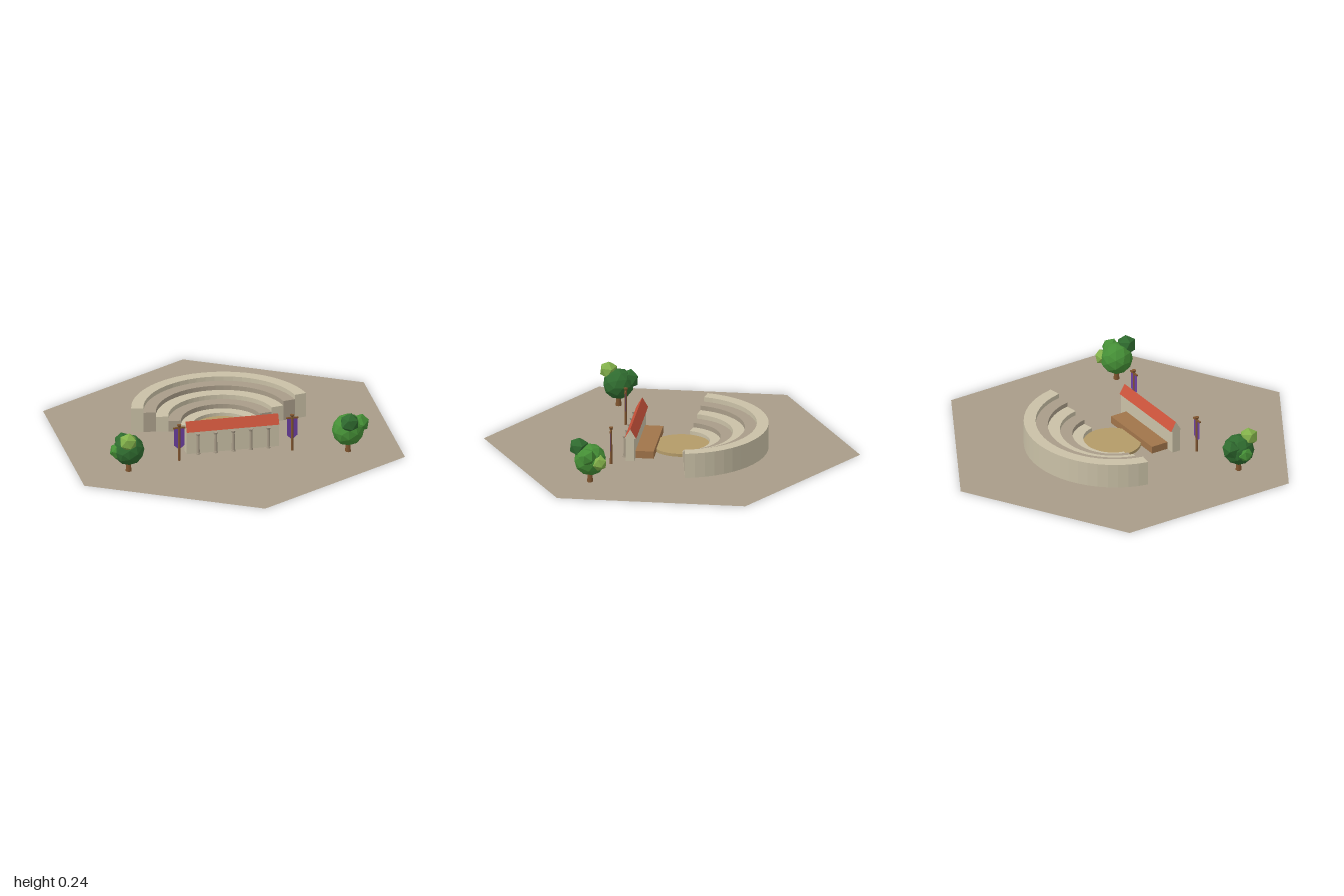
import * as THREE from 'three';

const mat = (name, color, extra = {}) => {
  const m = new THREE.MeshStandardMaterial({ color, ...extra });
  m.name = name;
  return m;
};

export function createModel() {
  const model = new THREE.Group();
  model.name = 'openAirTheatre';
  const M = {
    earth: mat('earthStone', 0xa89c88, { side: THREE.DoubleSide }),
    stone: mat('paleStone', 0xc9c0a6),
    sand: mat('sand', 0xb39a68),
    wood: mat('stageWood', 0xa0744a),
    bark: mat('bark', 0x80552f),
    tile: mat('roofTile', 0xc8523a),
    cloth: mat('purpleCloth', 0x6b3fa0, { side: THREE.DoubleSide }),
    dark: mat('darkLeaf', 0x2f6b2f, { flatShading: true }),
    mid: mat('midLeaf', 0x458f36, { flatShading: true }),
    light: mat('lightLeaf', 0x82b04a, { flatShading: true }),
  };
  const add = (parent, name, geo, material, x = 0, y = 0, z = 0) => {
    const mesh = new THREE.Mesh(geo, material);
    mesh.name = name;
    mesh.position.set(x, y, z);
    parent.add(mesh);
    return mesh;
  };
  const box = (parent, name, w, h, d, material, x, y, z) =>
    add(parent, name, new THREE.BoxGeometry(w, h, d), material, x, y, z);

  // Hexagonal ground with points along z
  const ground = new THREE.CircleGeometry(1, 6, Math.PI / 2).rotateX(-Math.PI / 2);
  add(model, 'ground', ground, M.earth);

  // Seating: five elliptical tiers rising outwards
  const radii = [0.15, 0.207, 0.272, 0.335, 0.398, 0.46];
  const segments = 24;
  const arcPoint = (r, i) => {
    const a = THREE.MathUtils.degToRad(10 + (160 * i) / segments);
    return new THREE.Vector2(r * 1.043 * Math.cos(a), r * Math.sin(a));
  };
  for (let t = 0; t < 5; t++) {
    const points = [];
    for (let i = 0; i <= segments; i++) points.push(arcPoint(radii[t + 1], i));
    for (let i = segments; i >= 0; i--) points.push(arcPoint(radii[t], i));
    const geo = new THREE.ExtrudeGeometry(new THREE.Shape(points), {
      depth: 0.035 + t * 0.025, bevelEnabled: false,
    }).rotateX(-Math.PI / 2);
    add(model, 'seatTier' + (t + 1), geo, t % 2 ? M.earth : M.stone, 0, 0, -0.05);
  }

  // Orchestra floor and stage
  add(model, 'orchestra', new THREE.CylinderGeometry(0.153, 0.153, 0.016, 32), M.sand, 0, 0.008, -0.05);
  box(model, 'stage', 0.4, 0.04, 0.1, M.wood, 0, 0.02, 0.122);

  // Stage wall with a gabled roof: stone ends, tiled slopes
  box(model, 'stageWall', 0.5, 0.125, 0.046, M.stone, 0, 0.0625, 0.192);
  const gable = new THREE.Shape();
  gable.moveTo(-0.031, 0);
  gable.lineTo(0.031, 0);
  gable.lineTo(0, 0.052);
  gable.closePath();
  const roof = new THREE.ExtrudeGeometry(gable, { depth: 0.5, bevelEnabled: false });
  roof.translate(0, 0, -0.25).rotateY(Math.PI / 2);
  add(model, 'roof', roof, [M.stone, M.tile], 0, 0.125, 0.19);

  // Five columns with bases and capitals
  for (let i = -2; i <= 2; i++) {
    const column = new THREE.Group();
    column.name = 'column' + (i + 3);
    column.position.set(i * 0.095, 0, 0.226);
    add(column, 'shaft', new THREE.CylinderGeometry(0.0075, 0.009, 0.112, 8), M.earth, 0, 0.06, 0);
    add(column, 'base', new THREE.CylinderGeometry(0.011, 0.012, 0.008, 8), M.earth, 0, 0.004, 0);
    add(column, 'capital', new THREE.CylinderGeometry(0.013, 0.009, 0.012, 8), M.earth, 0, 0.112, 0);
    model.add(column);
  }

  // Banners: pole, crossbar and pointed cloth
  const clothShape = new THREE.Shape();
  clothShape.moveTo(-0.028, 0);
  clothShape.lineTo(0.028, 0);
  clothShape.lineTo(0.028, -0.1);
  clothShape.lineTo(0, -0.125);
  clothShape.lineTo(-0.028, -0.1);
  clothShape.closePath();
  for (const side of [-1, 1]) {
    const banner = new THREE.Group();
    banner.name = side > 0 ? 'leftBanner' : 'rightBanner';
    banner.position.set(side * 0.305, 0, 0.285);
    add(banner, 'pole', new THREE.CylinderGeometry(0.006, 0.007, 0.195, 8), M.bark, 0, 0.0975, 0);
    add(banner, 'finial', new THREE.CylinderGeometry(0.012, 0.007, 0.012, 8), M.bark, 0, 0.199, 0);
    box(banner, 'crossbar', 0.066, 0.008, 0.008, M.bark, 0, 0.187, 0);
    add(banner, 'cloth', new THREE.ShapeGeometry(clothShape), M.cloth, 0, 0.187, 0);
    model.add(banner);
  }

  // Trees: a trunk, one large crown and smaller leaf clumps [x, y, z, radius, material]
  const tree = (name, x, z, clumps) => {
    const group = new THREE.Group();
    group.name = name;
    group.position.set(x, 0, z);
    add(group, 'trunk', new THREE.CylinderGeometry(0.011, 0.016, 0.08, 7), M.bark, 0, 0.04, 0);
    clumps.forEach(([cx, cy, cz, r, m], i) => {
      const leaf = add(group, i ? 'leafClump' + i : 'crown',
        new THREE.IcosahedronGeometry(r, i ? 0 : 1), m, cx, cy, cz);
      leaf.rotation.set(0.3 * i, 0.7 * i + 0.4, 0.2 * i);
    });
    model.add(group);
  };
  tree('rightTree', -0.595, 0.36, [
    [0, 0.122, 0, 0.083, M.dark],
    [-0.015, 0.19, 0.055, 0.05, M.light],
    [-0.06, 0.12, 0, 0.044, M.mid],
    [-0.015, 0.145, -0.055, 0.054, M.dark],
  ]);
  tree('leftTree', 0.59, 0.36, [
    [0, 0.125, 0, 0.086, M.mid],
    [-0.005, 0.19, 0.06, 0.054, M.dark],
    [0.065, 0.16, 0.005, 0.049, M.mid],
    [0.052, 0.125, -0.055, 0.043, M.light],
  ]);
  return model;
}
